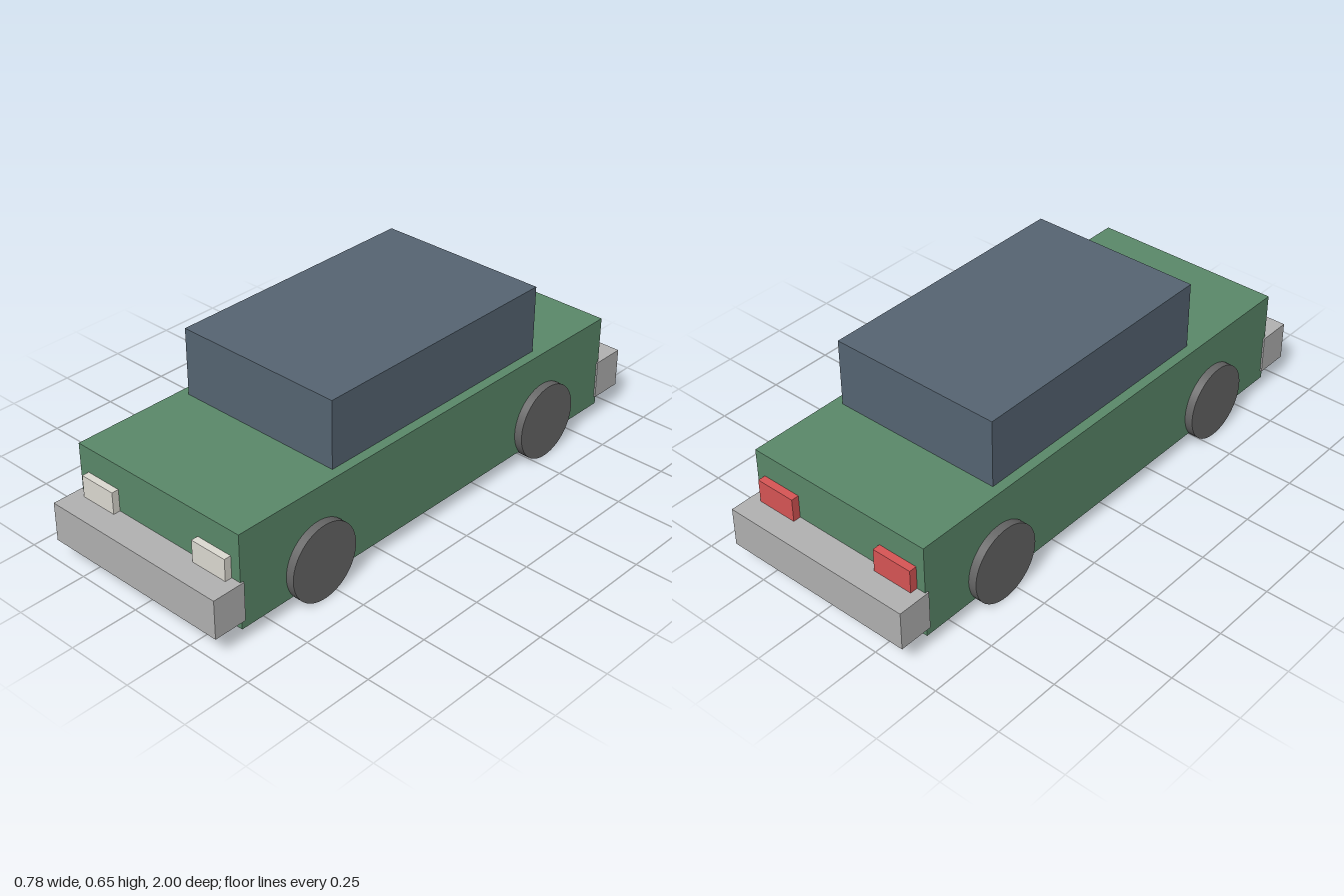
import * as THREE from 'three';

const paint = (color) => new THREE.MeshStandardMaterial({ color });

export function createModel() {
  const car = new THREE.Group();
  car.name = 'car';

  const bodyPaint = paint(0x5b896a);
  const glass = paint(0x566573);
  const metal = paint(0xb2b2b2);
  const rubber = paint(0x666666);
  const whiteLamp = paint(0xdedbd3);
  const redLamp = paint(0xd85555);

  // Box given by its [min, max] extent on each axis
  function box(name, material, [x0, x1], [y0, y1], [z0, z1]) {
    const mesh = new THREE.Mesh(new THREE.BoxGeometry(x1 - x0, y1 - y0, z1 - z0), material);
    mesh.position.set((x0 + x1) / 2, (y0 + y1) / 2, (z0 + z1) / 2);
    mesh.name = name;
    car.add(mesh);
  }

  // Body and cabin
  box('body', bodyPaint, [-0.361, 0.361], [0.054, 0.403], [-0.886, 0.886]);
  box('cabin', glass, [-0.325, 0.325], [0.403, 0.651], [-0.539, 0.452]);

  // Bumpers
  box('frontBumper', metal, [-0.367, 0.367], [0.086, 0.229], [0.876, 1]);
  box('rearBumper', metal, [-0.367, 0.367], [0.086, 0.229], [-1, -0.876]);

  // Lamps and wheels, mirrored left and right
  const wheelGeometry = new THREE.CylinderGeometry(0.14, 0.14, 0.09, 48).rotateZ(Math.PI / 2);
  for (const [side, s] of [['left', 1], ['right', -1]]) {
    const span = (inner, outer) => (s > 0 ? [inner, outer] : [-outer, -inner]);
    box(side + 'Headlight', whiteLamp, span(0.181, 0.324), [0.2, 0.31], [0.87, 0.912]);
    box(side + 'TailLight', redLamp, span(0.176, 0.328), [0.2, 0.315], [-0.914, -0.87]);

    for (const [end, z] of [['Front', 0.556], ['Rear', -0.556]]) {
      const wheel = new THREE.Mesh(wheelGeometry, rubber);
      wheel.position.set(s * 0.346, 0.14, z);
      wheel.name = side + end + 'Wheel';
      car.add(wheel);
    }
  }

  return car;
}
